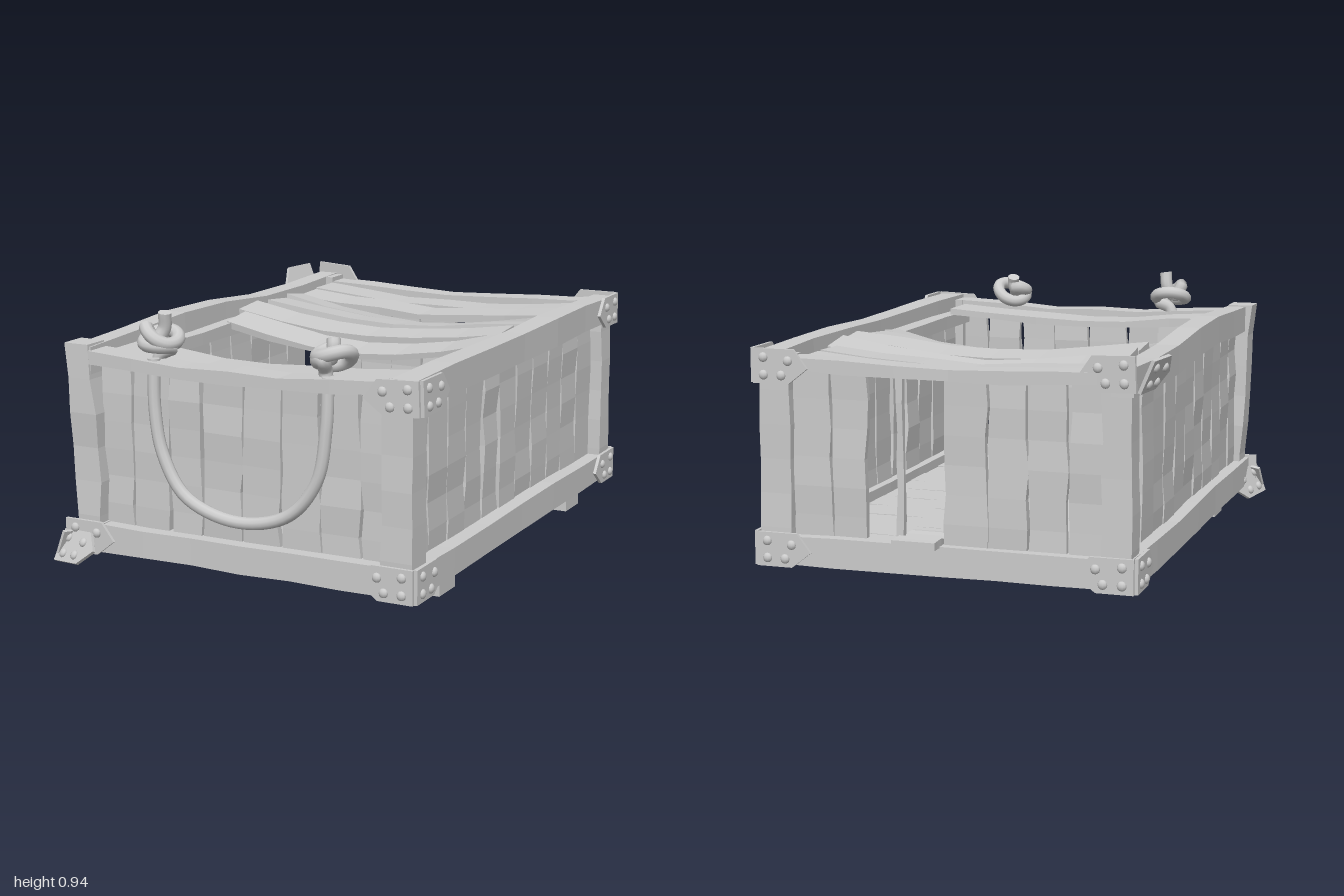
import * as THREE from 'three';

const wood = new THREE.MeshStandardMaterial({ color: 0xcccccc, flatShading: true });
const smooth = new THREE.MeshStandardMaterial({ color: 0xcccccc });

let seed = 7;
function rand() {
  seed = (seed * 16807) % 2147483647;
  return seed / 2147483647 - 0.5;
}

// Rough board spanning min..max; its edges wander along the longest axis.
// bend(p, t, side) may add a further offset, t running 0..1 along the board.
function board(parent, name, min, max, rough = 0.008, bend = null) {
  const size = max.map((v, i) => v - min[i]);
  const long = size.indexOf(Math.max(...size));
  const n = 6;
  const seg = [0, 1, 2].map(i => (i === long ? n : 1));
  const geo = new THREE.BoxGeometry(...size, ...seg);
  const pos = geo.attributes.position;
  const jitter = {};
  for (let i = 0; i < pos.count; i++) {
    const p = [pos.getX(i), pos.getY(i), pos.getZ(i)];
    const side = p.map(Math.sign);
    const t = p[long] / size[long] + 0.5;
    for (let k = 0; k < 3; k++) {
      if (k === long) continue;
      const key = `${k}${side[k]}${Math.round(t * n)}`;
      jitter[key] ??= rand() * 2 * Math.min(rough, size[k] * 0.2);
      p[k] += jitter[key];
    }
    if (bend) bend(p, t, side);
    pos.setXYZ(i, ...p);
  }
  geo.computeVertexNormals();
  const mesh = new THREE.Mesh(geo, wood);
  mesh.name = name;
  mesh.position.set(...min.map((v, i) => (v + max[i]) / 2));
  parent.add(mesh);
  return mesh;
}

// Pointed metal plate with domed bolts, reaching toward dir along x.
function plate(dir) {
  const g = new THREE.Group();
  g.name = 'bracketPlate';
  const pts = [[0, 0], [0.13, 0], [0.2, 0.055], [0.15, 0.12], [0, 0.12]];
  const shape = new THREE.Shape(pts.map(([x, y]) => new THREE.Vector2(x * dir, y)));
  const geo = new THREE.ExtrudeGeometry(shape, { depth: 0.012, bevelEnabled: false });
  g.add(new THREE.Mesh(geo, wood));
  for (const [x, y] of [[0.04, 0.03], [0.04, 0.09], [0.105, 0.03], [0.13, 0.08]]) {
    const bolt = new THREE.Mesh(new THREE.SphereGeometry(0.017, 10, 6), smooth);
    bolt.name = 'bolt';
    bolt.scale.z = 0.7;
    bolt.position.set(x * dir, y, 0.012);
    g.add(bolt);
  }
  return g;
}

// Two plates folded around a corner; turn counts quarter turns about y,
// faceTilt and flankTilt lean the plates in or out.
function bracket(parent, name, x, y, z, turn, faceTilt = 0, flankTilt = 0) {
  const g = new THREE.Group();
  g.name = name;
  const face = plate(-1), flank = plate(1);
  face.rotation.x = faceTilt;
  flank.rotation.set(flankTilt, Math.PI / 2, 0, 'YXZ');
  g.add(face, flank);
  g.position.set(x, y, z);
  g.rotation.y = turn * Math.PI / 2;
  parent.add(g);
  return g;
}

function tube(parent, name, points, radius, segs) {
  const curve = new THREE.CatmullRomCurve3(points.map(p => new THREE.Vector3(...p)));
  const mesh = new THREE.Mesh(new THREE.TubeGeometry(curve, segs, radius, 10), smooth);
  mesh.name = name;
  parent.add(mesh);
  for (const t of [0, 1]) {
    const cap = new THREE.Mesh(new THREE.CircleGeometry(radius, 10), smooth);
    cap.name = 'ropeEnd';
    cap.position.copy(curve.getPoint(t));
    const dir = curve.getTangent(t).multiplyScalar(t ? 1 : -1);
    cap.quaternion.setFromUnitVectors(new THREE.Vector3(0, 0, 1), dir);
    parent.add(cap);
  }
}

// Rope knot: one and a half turns around a free end that sticks out.
function knot(parent, x, y, z, tilt, yaw, end) {
  const g = new THREE.Group();
  g.name = 'ropeKnot';
  const pts = [[0, -0.09, 0.03], [0.01, -0.04, 0.03]];
  for (let i = 0; i <= 14; i++) {
    const a = 0.6 + i * 0.62;
    pts.push([0.058 * Math.cos(a), -0.02 + i * 0.0035 + 0.012 * Math.sin(a * 1.5), 0.058 * Math.sin(a)]);
  }
  pts.push([-0.02, 0.0, 0.015], [0.005, 0.04, 0], [0, end, 0]);
  tube(g, 'knotLoop', pts, 0.024, 90);
  g.position.set(x, y, z);
  g.rotation.set(0.2, yaw, tilt);
  parent.add(g);
}

export function createModel() {
  seed = 7;
  const crate = new THREE.Group();
  crate.name = 'brokenCrate';

  // Runners underneath
  for (const z of [0.545, -0.635])
    board(crate, 'runner', [-0.6, 0.002, z - 0.063], [0.645, 0.072, z + 0.063], 0.003);

  // Corner posts; the front one on -x leans outward
  board(crate, 'post', [0.56, 0.075, 0.78], [0.672, 0.79, 0.885], 0.004);
  board(crate, 'post', [0.56, 0.075, -0.947], [0.672, 0.79, -0.85], 0.004);
  board(crate, 'post', [-0.64, 0.075, -0.947], [-0.54, 0.8, -0.85], 0.004);
  board(crate, 'leaningPost', [-0.64, 0.075, 0.78], [-0.54, 0.81, 0.885], 0.008, (p, t) => { p[0] -= 0.03 * t * t; });

  // Long side rails; the upper ones are narrow, warped, with a batten inside
  const warp = (p, t) => { p[1] += 0.022 * Math.sin((t - 0.42) * 7) * Math.sin(Math.PI * t); };
  board(crate, 'lowerSideRail', [0.565, 0.07, -0.95], [0.68, 0.172, 0.88], 0.004);
  board(crate, 'lowerSideRail', [-0.65, 0.07, -0.95], [-0.535, 0.172, 0.88], 0.004);
  board(crate, 'upperSideRail', [0.597, 0.705, -0.95], [0.68, 0.805, 0.88], 0.005);
  board(crate, 'upperSideRail', [-0.65, 0.705, -0.95], [-0.568, 0.805, 0.88], 0.005, warp);
  board(crate, 'batten', [0.53, 0.7, -0.86], [0.6, 0.75, 0.78], 0.003);
  board(crate, 'batten', [-0.57, 0.7, -0.86], [-0.512, 0.75, 0.78], 0.003);

  // End rails, the upper ones sagging
  const sag = (p, t) => {
    p[1] -= 0.02 * Math.sin(Math.PI * t);
    p[2] += 0.012 * Math.sin(Math.PI * t);
  };
  for (const [z0, z1] of [[0.78, 0.885], [-0.953, -0.86]]) {
    board(crate, 'lowerEndRail', [-0.56, 0.068, z0], [0.6, 0.168, z1], 0.003);
    board(crate, 'upperEndRail', [-0.58, 0.745, z0], [0.56, 0.787, z1], 0.005, sag);
  }

  // Front planks
  const fx = [-0.56, -0.43, -0.28, -0.15, 0.01, 0.16, 0.31, 0.46, 0.57];
  for (let i = 0; i < 8; i++) {
    const m = board(crate, 'frontPlank', [fx[i] + 0.005, 0.14, 0.81], [fx[i + 1] - 0.005, 0.735, 0.835], 0.007);
    m.rotation.z = rand() * 0.03;
  }

  // Back planks, with a gap left by a missing one
  const bx = [-0.55, -0.42, -0.28, -0.14, 0.02, 0.16, 0.19, 0.29, 0.42, 0.57];
  for (let i = 0; i < 9; i++) {
    if (i === 4 || i === 6) continue;
    board(crate, 'backPlank', [bx[i] + 0.004, 0.14, -0.915], [bx[i + 1] - 0.004, 0.745, -0.89], 0.007);
  }
  board(crate, 'fallenPlank', [0.02, 0.165, -0.998], [0.17, 0.19, -0.8], 0.005);

  // Side planks; two are chipped on +x and one is missing on -x
  const sz = [0.79, 0.66, 0.505, 0.36, 0.205, 0.06, -0.09, -0.24, -0.395, -0.54, -0.7, -0.86];
  for (const s of [1, -1]) {
    const x = s > 0 ? 0.61 : -0.595;
    for (let i = 0; i < 11; i++) {
      if (s < 0 && i === 10) continue;
      const chip = s > 0 && (i === 3 || i === 4)
        ? (p, t, side) => { if (side[2] < 0) p[2] += 0.025 * Math.sin(Math.PI * t); } : null;
      const m = board(crate, 'sidePlank', [x - 0.013, 0.14, sz[i + 1] + 0.003], [x + 0.013, 0.73, sz[i] - 0.003], 0.006, chip);
      m.rotation.x = rand() * 0.012;
    }
  }
  board(crate, 'plankStump', [-0.61, 0.14, -0.85], [-0.585, 0.24, -0.72], 0.01);

  // Floor planks
  for (let i = 0; i < 11; i++) {
    const z = -0.86 + i * 0.149;
    board(crate, 'floorPlank', [-0.56, 0.105, z + 0.001], [0.58, 0.135, z + 0.148], 0.003);
  }

  // Lid planks [z0, z1, x0, x1, y, tilt, droop]: partly shifted, open toward the front
  const lid = [
    [-0.86, -0.715, -0.54, 0.55, 0.762, 0, 0.03], [-0.71, -0.565, -0.54, 0.55, 0.76, 0.03, 0.035],
    [-0.56, -0.42, -0.52, 0.585, 0.77, -0.15, 0.07], [-0.415, -0.275, -0.52, 0.59, 0.775, -0.1, 0.05],
    [-0.262, -0.12, -0.56, 0.54, 0.77, 0.08, 0.06], [-0.115, 0.03, -0.53, 0.545, 0.755, 0.12, 0.08],
    [0.6, 0.775, -0.56, 0.545, 0.765, 0, 0.03]];
  for (const [z0, z1, x0, x1, y, tilt, droop] of lid) {
    const m = board(crate, 'lidPlank', [x0, y - 0.012, z0], [x1, y + 0.014, z1], 0.007,
      (p, t) => { p[1] -= droop * Math.sin(Math.PI * t); });
    m.rotation.x = tilt;
  }

  // Corner brackets
  bracket(crate, 'lowerBracket', 0.684, 0.06, 0.893, 0);
  bracket(crate, 'lowerBracket', 0.684, 0.06, -0.956, 1);
  bracket(crate, 'lowerBracket', -0.655, 0.06, -0.956, 2);
  bracket(crate, 'upperBracket', 0.705, 0.69, 0.893, 0).rotation.z = 0.04;
  bracket(crate, 'upperBracket', 0.684, 0.695, -0.956, 1);

  // Loose brackets and bent plates on -x
  const loose = bracket(crate, 'looseBracket', -0.705, 0.025, 0.935, 3, -0.45, -0.45);
  loose.rotation.set(0.1, -Math.PI / 2 - 0.32, 0.1, 'YXZ');
  const kept = plate(1);
  kept.position.set(-0.68, 0.06, 0.891);
  crate.add(kept);
  const flared = bracket(crate, 'flaredBracket', -0.66, 0.725, -0.96, 2, 0, 0.45);
  flared.rotation.y -= 0.12;
  flared.rotation.z = 0.04;

  // Rope handle and its knots above the front rail
  tube(crate, 'ropeHandle', [[-0.325, 0.78, 0.855], [-0.32, 0.6, 0.862], [-0.29, 0.45, 0.865], [-0.2, 0.31, 0.868],
    [0, 0.245, 0.87], [0.2, 0.29, 0.868], [0.31, 0.42, 0.865], [0.345, 0.6, 0.862], [0.35, 0.78, 0.855]], 0.022, 48);
  knot(crate, -0.335, 0.835, 0.79, -0.25, 0.4, 0.1);
  knot(crate, 0.345, 0.832, 0.8, 0.45, -1.2, 0.065);

  return crate;
}
